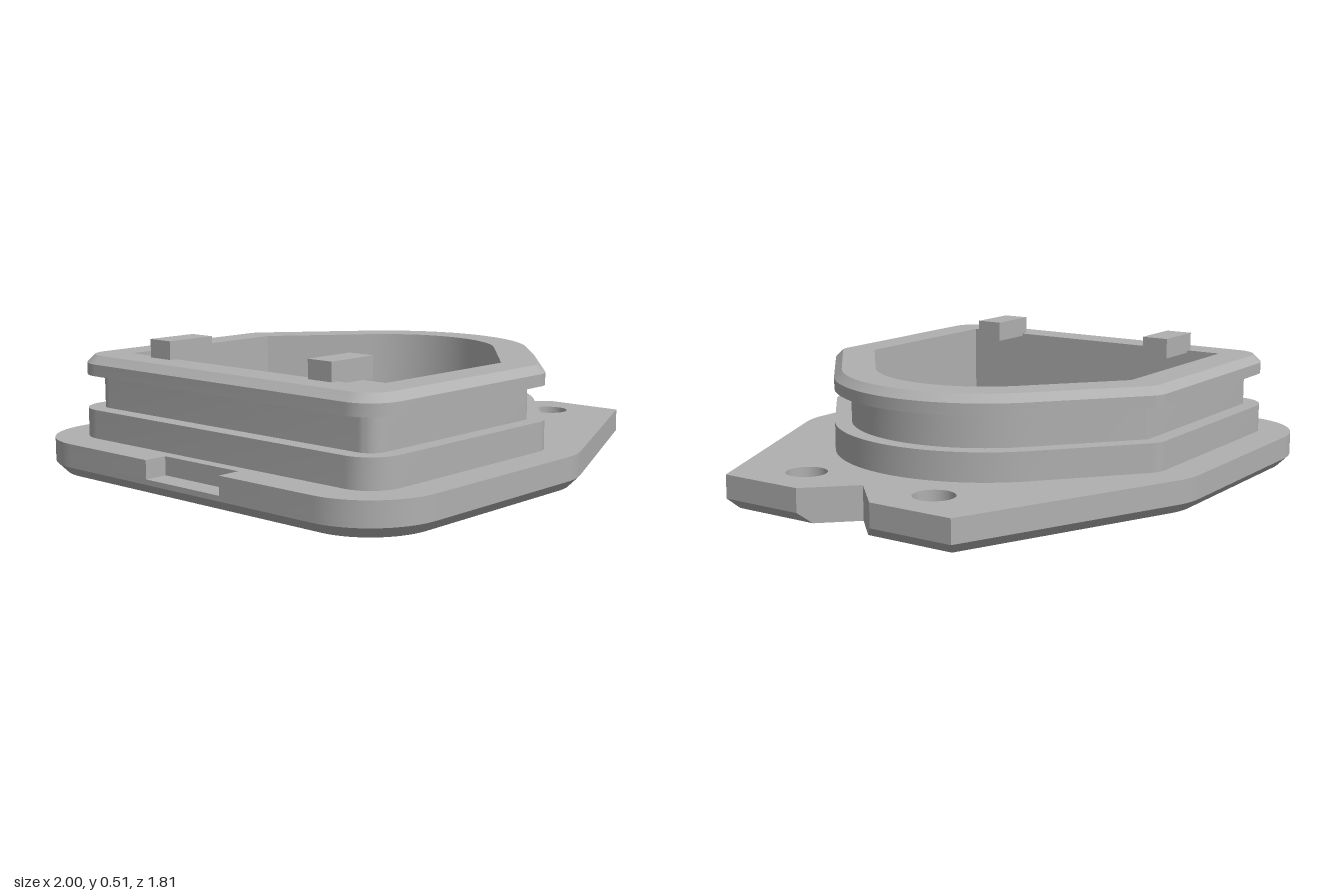
import * as THREE from 'three';
import { toCreasedNormals, mergeGeometries } from 'three/addons/utils/BufferGeometryUtils.js';

const rad = THREE.MathUtils.degToRad;

// Points along an arc, angles in degrees; outlines are counter-clockwise, with z = -y
function arc(cx, cy, r, from, to, steps) {
  return Array.from({ length: steps + 1 }, (_, i) => {
    const a = rad(from + (to - from) * i / steps);
    return new THREE.Vector2(cx + r * Math.cos(a), cy + r * Math.sin(a));
  });
}
const p = (x, y) => new THREE.Vector2(x, y);
const circle = (cx, cy, r) => arc(cx, cy, r, 0, 360, 32).slice(0, -1);
const rect = (x0, x1, h) => [p(x0, -h), p(x1, -h), p(x1, h), p(x0, h)];
// Completes a half outline whose first point lies on the centre line
const mirror = half => [...half, ...half.slice(1).reverse().map(v => p(v.x, -v.y))];

// Outlines, each shrunk by an inset d
function plateOutline(d, slot = false) {
  const half = [
    p(0.835, 0), p(1 - d, 0.165 - d),
    p(1 - d, (0.866 - d - 0.404 * (1 - d)) / 0.915),
    ...arc(0.035, 0.625, 0.28 - d, 66.2, 90, 6),
    ...arc(-0.72, 0.625, 0.28 - d, 90, 180, 16),
  ];
  if (slot) half.push(p(-1, 0.19), p(-0.91, 0.19));
  return mirror(half);
}
const bodyOutline = d => mirror([
  ...arc(0.08, 0, 0.59 - d, 0, 50, 16),
  ...arc(0.044, 0.67, 0.1 - d, 50, 90, 6),
  ...arc(-0.735, 0.64, 0.13 - d, 90, 180, 10),
]);
const cavityOutline = mirror([
  ...arc(0.08, 0, 0.43, 0, 50, 16), p(0.022, 0.61), p(-0.705, 0.61),
]);

// Walls through [outline, height] rings; rising rings face out, falling rings face in
function walls(rings) {
  const pos = [];
  for (let k = 0; k < rings.length - 1; k++) {
    const [lo, y0] = rings[k], [hi, y1] = rings[k + 1];
    for (let i = 0; i < lo.length; i++) {
      const j = (i + 1) % lo.length;
      const a = [lo[i].x, y0, -lo[i].y], b = [lo[j].x, y0, -lo[j].y];
      const c = [hi[j].x, y1, -hi[j].y], e = [hi[i].x, y1, -hi[i].y];
      pos.push(...a, ...b, ...c, ...a, ...c, ...e);
    }
  }
  const g = new THREE.BufferGeometry();
  g.setAttribute('position', new THREE.Float32BufferAttribute(pos, 3));
  return toCreasedNormals(g, 0.5);
}

// Flat face with holes, looking up or down
function cap(outline, holes, y, up = true) {
  const shape = new THREE.Shape(outline);
  shape.holes = holes.map(h => new THREE.Path(h));
  const g = new THREE.ShapeGeometry(shape).toNonIndexed();
  g.deleteAttribute('uv');
  return g.rotateX(up ? -Math.PI / 2 : Math.PI / 2).translate(0, y, 0);
}

export function createModel() {
  const model = new THREE.Group();
  model.name = 'housing';
  const grey = new THREE.MeshStandardMaterial({ color: 0xb0b0b0 });
  grey.name = 'grey plastic';
  const add = (name, ...geos) => {
    const mesh = new THREE.Mesh(geos.length > 1 ? mergeGeometries(geos) : geos[0], grey);
    mesh.name = name;
    model.add(mesh);
    return mesh;
  };

  const plateTop = 0.13, slotFloor = 0.06, rimTop = 0.445;
  const floorY = 0.14, blockTop = 0.26, pocketTop = 0.2;
  const screwHoles = [-1, 1].map(s => circle(0.805, s * 0.29, 0.077));
  const pinHoles = [-1, 1].map(s => circle(0.083, s * 0.08, 0.043));
  const block = rect(-0.11, 0.275, 0.345);
  const pocket = rect(-0.03, 0.2, 0.29);

  // Mounting plate: chamfered below, V notch at one end and a slot at the other
  const slotted = plateOutline(0, true);
  add('mountingPlate',
    cap(plateOutline(0.04), [...screwHoles, pocket], 0, false),
    walls([[plateOutline(0.04), 0], [plateOutline(0), 0.04], [plateOutline(0), slotFloor]]),
    walls([[slotted, slotFloor], [slotted, plateTop]]),
    cap(slotted, [...screwHoles, bodyOutline(0)], plateTop));
  add('slotFloor', cap(rect(-1, -0.91, 0.19), [], slotFloor));
  screwHoles.forEach(h => add('screwHole', walls([[h, plateTop], [h, 0]])));

  // Raised body with a groove around it and a chamfered rim
  add('body', walls([
    [0, plateTop], [0, 0.24], [0.065, 0.24], [0.065, 0.37],
    [0, 0.37], [0, 0.415], [0.03, rimTop],
  ].map(([d, y]) => [bodyOutline(d), y])));
  add('rim', cap(bodyOutline(0.03), [cavityOutline], rimTop));

  // Open cavity
  add('cavity',
    walls([[cavityOutline, rimTop], [cavityOutline, floorY]]),
    cap(cavityOutline, [block], floorY));

  // Pin block on the cavity floor, hollow from below
  add('pinBlock', walls([[block, floorY], [block, blockTop]]), cap(block, pinHoles, blockTop));
  add('pocket', walls([[pocket, pocketTop], [pocket, 0]]), cap(pocket, pinHoles, pocketTop, false));
  pinHoles.forEach(h => add('pinHole', walls([[h, blockTop], [h, pocketTop]])));

  // Two lugs overhanging the cavity
  for (const s of [-1, 1]) {
    add('lug', new THREE.BoxGeometry(0.21, 0.08, 0.11)).position.set(-0.63, 0.475, s * 0.41);
  }
  return model;
}
